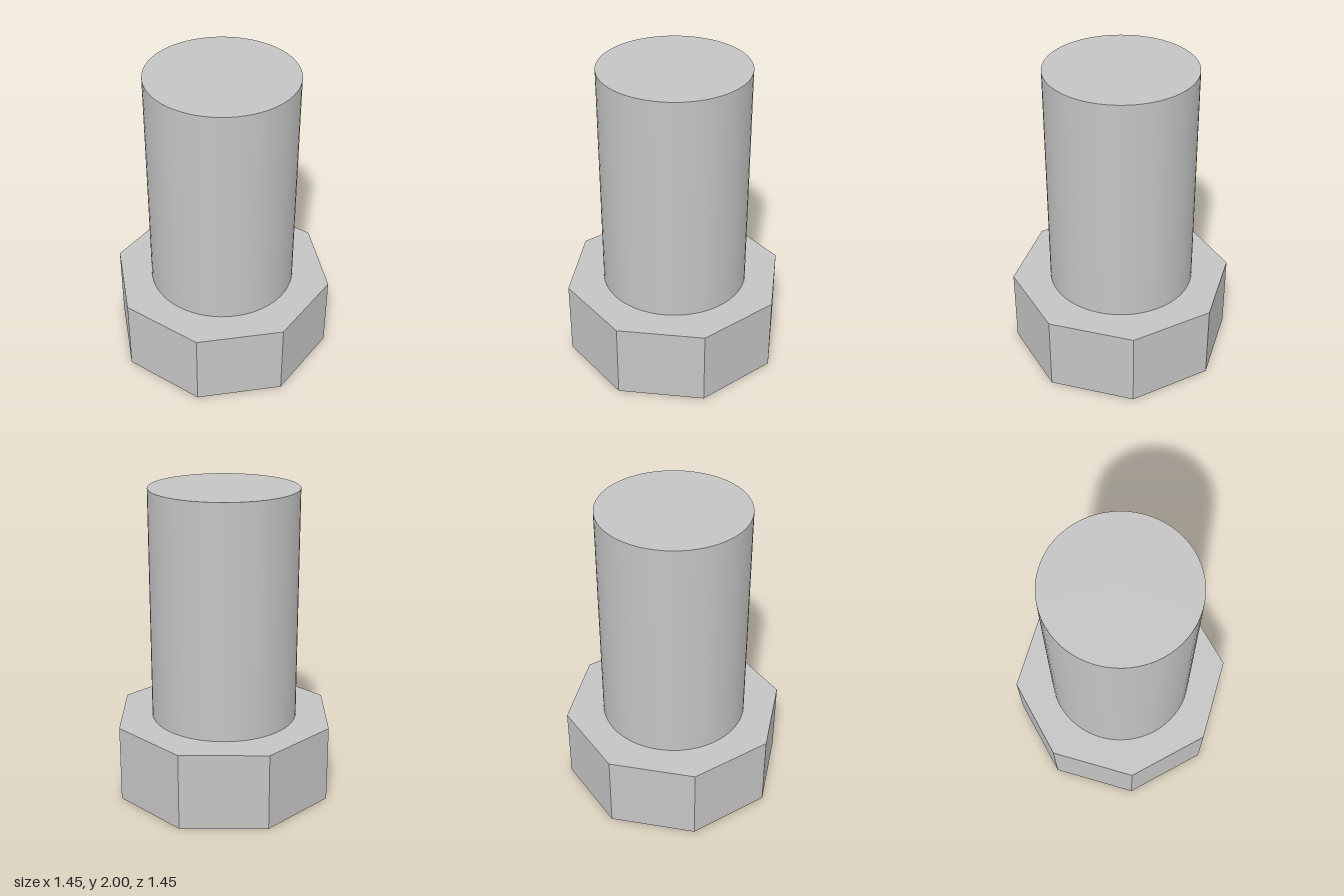
import * as THREE from 'three';

const HEAD_R = 0.724, HEAD_H = 0.5, SHAFT_R = 0.474, TOP = 2;
const BORE_R = 0.56, BORE_DEPTH = 0.35;
const PIN_R = 0.06, PIN_LENGTH = 0.15, PIN_RING = 0.415;

// Octagonal plate with a round hole, in the XY plane
function octagonRing(holeRadius) {
  const points = [];
  for (let i = 0; i < 8; i++) {
    const a = (i * Math.PI) / 4;
    points.push(new THREE.Vector2(Math.cos(a) * HEAD_R, Math.sin(a) * HEAD_R));
  }
  const shape = new THREE.Shape(points);
  shape.holes.push(new THREE.Path().absarc(0, 0, holeRadius, 0, Math.PI * 2, true));
  return new THREE.ShapeGeometry(shape, 32);
}

export function createModel() {
  const model = new THREE.Group();
  model.name = 'bolt';
  const steel = new THREE.MeshStandardMaterial({ color: 0xc4c4c4 });
  steel.name = 'grey steel';

  const add = (name, geometry, parent = model) => {
    const mesh = new THREE.Mesh(geometry, steel);
    mesh.name = name;
    parent.add(mesh);
    return mesh;
  };

  // Smooth round shaft
  const shaftH = TOP - HEAD_H;
  add('shaft', new THREE.CylinderGeometry(SHAFT_R, SHAFT_R, shaftH, 64))
    .position.y = HEAD_H + shaftH / 2;

  // Eight-sided head, faceted, with corners on the axes
  const head = new THREE.Group();
  head.name = 'head';
  model.add(head);
  const sides = new THREE.CylinderGeometry(HEAD_R, HEAD_R, HEAD_H, 8, 1, true).toNonIndexed();
  sides.computeVertexNormals();
  add('headSides', sides, head).position.y = HEAD_H / 2;
  add('headTop', octagonRing(SHAFT_R).rotateX(-Math.PI / 2), head).position.y = HEAD_H;
  add('headRim', octagonRing(BORE_R).rotateX(Math.PI / 2), head);

  // Round recess under the head, its wall facing inward
  const wall = [new THREE.Vector2(BORE_R, BORE_DEPTH), new THREE.Vector2(BORE_R, 0)];
  add('recessWall', new THREE.LatheGeometry(wall, 64), head);
  add('recessCeiling', new THREE.CircleGeometry(BORE_R, 64).rotateX(Math.PI / 2), head)
    .position.y = BORE_DEPTH;

  // Four pins hanging from the recess ceiling, on the diagonals
  for (let i = 0; i < 4; i++) {
    const a = Math.PI / 4 + (i * Math.PI) / 2;
    add('pin', new THREE.CylinderGeometry(PIN_R, PIN_R, PIN_LENGTH, 24), head)
      .position.set(Math.cos(a) * PIN_RING, BORE_DEPTH - PIN_LENGTH / 2, Math.sin(a) * PIN_RING);
  }
  return model;
}
